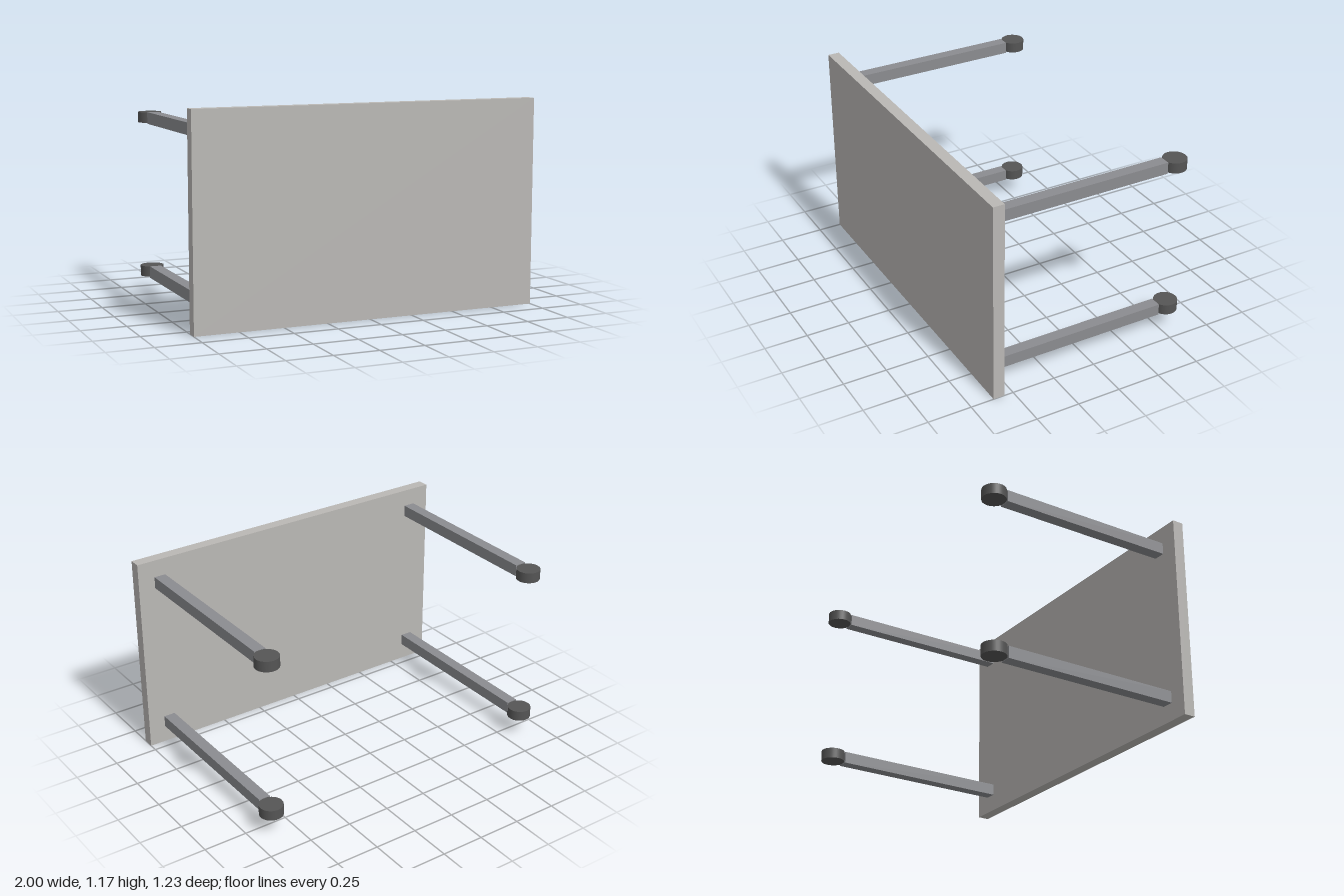
import * as THREE from 'three';

const panelGrey = new THREE.MeshStandardMaterial({ name: 'panelGrey', color: 0xbab8b5 });
const legSteel = new THREE.MeshStandardMaterial({ name: 'legSteel', color: 0x8b8c90 });
const wheelDark = new THREE.MeshStandardMaterial({ name: 'wheelDark', color: 0x555555 });

function addMesh(parent, name, geometry, material, x, y, z) {
  const mesh = new THREE.Mesh(geometry, material);
  mesh.name = name;
  mesh.position.set(x, y, z);
  parent.add(mesh);
}

export function createModel() {
  const table = new THREE.Group();
  table.name = 'table';

  // Table top, standing on its long edge
  addMesh(table, 'tableTop', new THREE.BoxGeometry(2, 1.167, 0.066), panelGrey, 0, 0.5835, 0.584);

  // Four square legs pointing backward, each ending in a round foot
  const legGeometry = new THREE.BoxGeometry(0.067, 0.067, 1.036);
  const footGeometry = new THREE.CylinderGeometry(0.067, 0.067, 0.06, 32);
  for (const x of [-0.867, 0.867]) {
    for (const y of [0.1335, 1.0335]) {
      const leg = new THREE.Group();
      leg.name = (y > 0.5 ? 'upper' : 'lower') + (x > 0 ? 'Left' : 'Right') + 'Leg';
      leg.position.set(x, y, 0);
      addMesh(leg, 'legBar', legGeometry, legSteel, 0, 0, 0.033);
      addMesh(leg, 'foot', footGeometry, wheelDark, 0, 0.001, -0.55);
      table.add(leg);
    }
  }
  return table;
}
